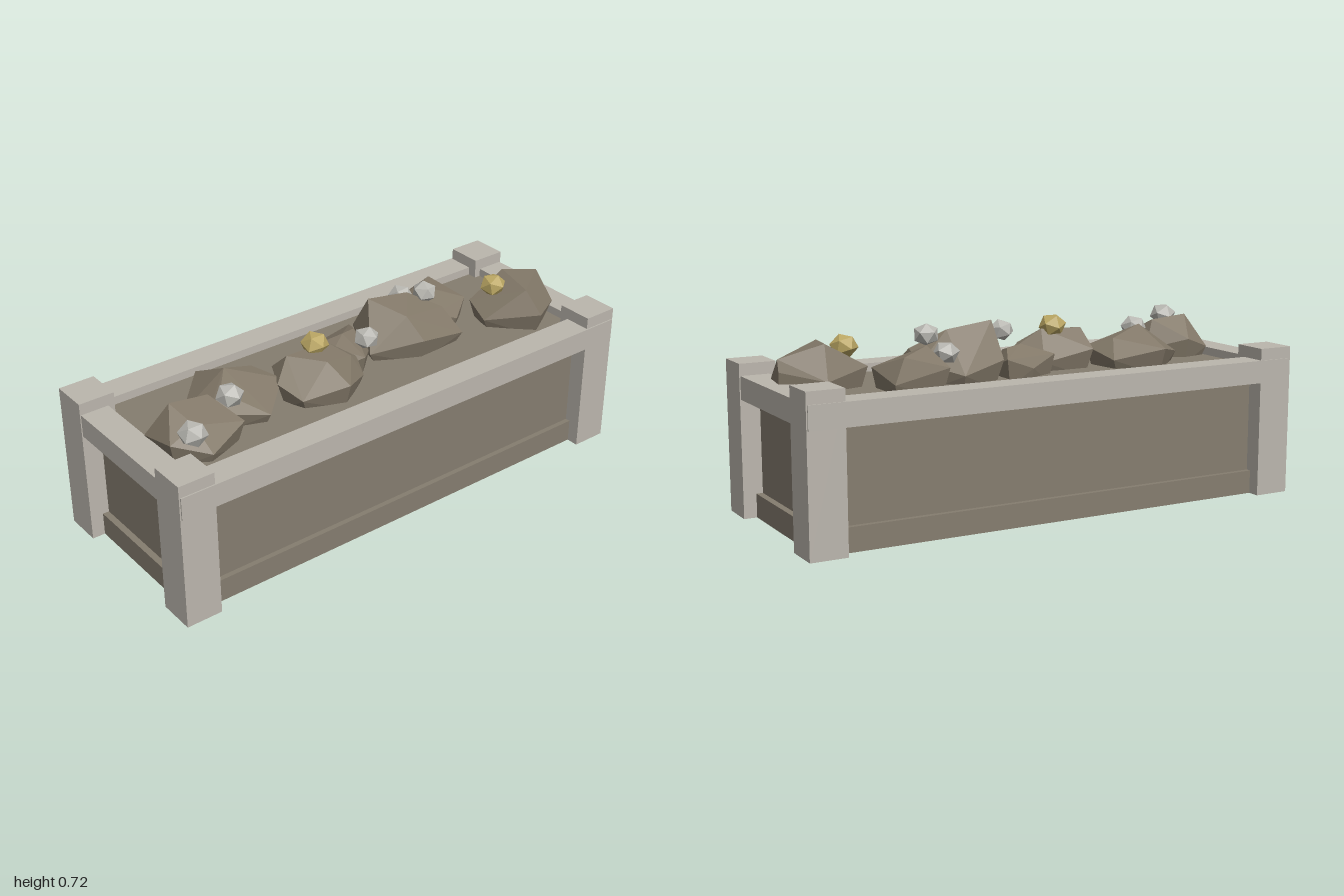
import * as THREE from 'three';
import { ConvexGeometry } from 'three/addons/geometries/ConvexGeometry.js';

export function createModel() {
  const group = new THREE.Group();
  const mat = (name, color, options = {}) => {
    const m = new THREE.MeshStandardMaterial({ color, ...options });
    m.name = name;
    return m;
  };
  const open = { side: THREE.DoubleSide };
  const faceted = { flatShading: true };
  const frameMat = mat('pale frame', 0xbbb6ad, open);
  const panelMat = mat('brown panel', 0x857d6f, open);
  const rockMat = mat('brown rock', 0x827868, faceted);
  const silverMat = mat('silver ore', 0xb9b8b2, faceted);
  const goldMat = mat('gold ore', 0xbaa663, faceted);

  const add = (name, geometry, material, x = 0, y = 0, z = 0) => {
    const mesh = new THREE.Mesh(geometry, material);
    mesh.name = name;
    mesh.position.set(x, y, z);
    group.add(mesh);
    return mesh;
  };
  // box given by its size, centre and bottom height
  const box = (name, material, w, h, d, x, y, z) =>
    add(name, new THREE.BoxGeometry(w, h, d), material, x, y + h / 2, z);
  // the same box without its bottom face
  const openBox = (...args) => {
    const { geometry } = box(...args);
    geometry.setIndex([...geometry.index.array].filter((_, i) => i < 18 || i >= 24));
    geometry.clearGroups();
  };

  // body: hollow plinth and inset bin, whose top is the fill surface
  openBox('plinth', panelMat, 1.9, 0.09, 0.69, 0, 0, 0);
  openBox('bin', panelMat, 1.85, 0.41, 0.65, 0, 0.09, 0);

  // frame: hollow corner posts and top rails
  for (const s of [-1, 1]) {
    for (const t of [-1, 1]) openBox('cornerPost', frameMat, 0.14, 0.577, 0.143, s * 0.93, 0, t * 0.3215);
    box('longRail', frameMat, 1.99, 0.087, 0.11, 0, 0.445, s * 0.343);
    box('endRail', frameMat, 0.11, 0.087, 0.6, s * 0.941, 0.445, 0);
  }

  // rock: a zigzag girdle of x, z pairs, a foot below and a few peaks on top
  const rock = (girdle, peaks) => {
    const ring = [];
    for (let i = 0; i < girdle.length; i += 2) {
      ring.push(new THREE.Vector3(girdle[i], i % 4 ? 0.535 : 0.575, girdle[i + 1]));
    }
    const mid = ring.reduce((a, p) => a.add(p), new THREE.Vector3()).divideScalar(ring.length);
    const foot = ring.map((p) => p.clone().lerp(mid, 0.18).setY(0.47));
    const tops = peaks.map((p) => new THREE.Vector3(...p));
    add('rock', new ConvexGeometry([...ring, ...foot, ...tops]), rockMat);
  };
  rock([-0.78, -0.03, -0.63, 0.05, -0.6, 0.19, -0.77, 0.25, -0.89, 0.17, -0.89, 0],
    [[-0.82, 0.665, 0.06], [-0.67, 0.65, 0.07], [-0.79, 0.62, 0.17]]);
  rock([-0.55, -0.2, -0.36, -0.13, -0.33, 0.03, -0.47, 0.16, -0.68, 0.08, -0.71, -0.04],
    [[-0.53, 0.655, -0.04], [-0.4, 0.61, -0.06], [-0.6, 0.62, 0.04]]);
  rock([-0.31, -0.06, -0.1, -0.05, -0.02, 0.07, -0.04, 0.14, -0.17, 0.23, -0.33, 0.16, -0.37, 0.06],
    [[-0.3, 0.65, 0.02], [-0.13, 0.655, 0.03], [-0.2, 0.64, 0.13], [-0.06, 0.6, 0.09]]);
  rock([-0.12, -0.09, 0, -0.14, 0.11, -0.14, 0.1, 0, 0, 0.1, -0.1, 0.05],
    [[0, 0.615, -0.04], [0.07, 0.605, -0.06], [-0.07, 0.59, 0]]);
  rock([0.12, -0.13, 0.3, -0.17, 0.42, -0.05, 0.46, 0.12, 0.25, 0.14, 0.07, 0.04],
    [[0.13, 0.715, -0.05], [0.31, 0.69, -0.04], [0.22, 0.66, 0.07], [0.43, 0.62, 0.03]]);
  rock([0.37, -0.19, 0.6, -0.22, 0.61, -0.04, 0.52, 0.02, 0.4, 0],
    [[0.43, 0.65, -0.12], [0.55, 0.625, -0.19], [0.53, 0.61, -0.08]]);
  rock([0.61, -0.01, 0.78, -0.05, 0.94, 0.01, 0.92, 0.14, 0.74, 0.26, 0.59, 0.1],
    [[0.77, 0.665, 0], [0.73, 0.655, 0.18], [0.94, 0.62, 0.02], [0.935, 0.437, 0.03]]);

  // ore nuggets, slightly flattened: x, y, z, radius
  const nuggets = (name, material, list) => list.forEach(([x, y, z, r], i) => {
    const geometry = new THREE.IcosahedronGeometry(r).rotateX(0.4 + i).rotateY(0.7 * i).scale(1, 0.86, 1);
    add(name, geometry, material, x, y, z);
  });
  nuggets('silverNugget', silverMat, [
    [-0.84, 0.642, 0.24, 0.054], [-0.59, 0.625, 0.085, 0.053], [0.01, 0.652, 0.092, 0.05],
    [0.36, 0.622, -0.135, 0.05], [0.385, 0.675, -0.025, 0.05],
  ]);
  nuggets('goldNugget', goldMat, [[-0.18, 0.665, 0.03, 0.054], [0.675, 0.645, 0.05, 0.053]]);

  return group;
}
